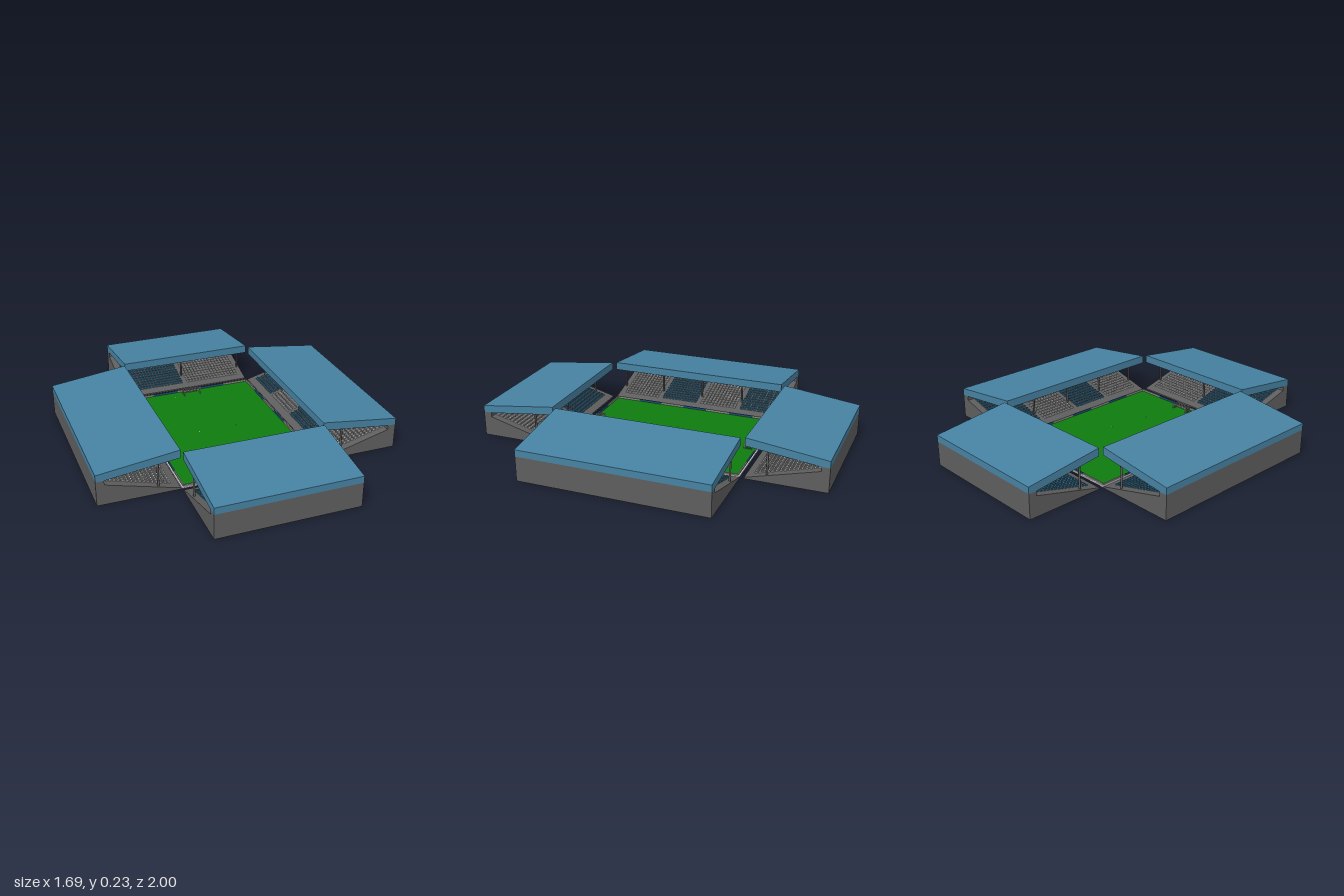
import * as THREE from 'three';
import { mergeGeometries } from 'three/addons/utils/BufferGeometryUtils.js';

const mat = (name, color, side = THREE.FrontSide) => {
  const m = new THREE.MeshStandardMaterial({ color, side });
  m.name = name;
  return m;
};

export function createModel() {
  const concrete = mat('concrete grey', 0x5e5e5e);
  const roofBlue = mat('roof blue', 0x4682a2);
  const seatBlue = mat('seat blue', 0x3c7596);
  const seatWhite = mat('seat white', 0xc4c4c4);
  const grass = mat('grass green', 0x0f7c0f);
  const boardBlue = mat('board blue', 0x24507c);
  const boardGrey = mat('board grey', 0x8c8c8c);
  const white = mat('white', 0xe4e4e4);

  const model = new THREE.Group();
  model.name = 'stadium';

  const add = (parent, name, geometry, material) => {
    const mesh = new THREE.Mesh(geometry, material);
    mesh.name = name;
    parent.add(mesh);
    return mesh;
  };
  const box = (w, h, d, x, y, z) => new THREE.BoxGeometry(w, h, d).translate(x, y, z);

  // Outline in (outward distance, height), swept along the stand
  const sweep = (points, length) => {
    const shape = new THREE.Shape(points.map(([x, y]) => new THREE.Vector2(x, y)));
    return new THREE.ExtrudeGeometry(shape, { depth: length, bevelEnabled: false })
      .translate(0, 0, -length / 2);
  };

  const DEPTH = 0.445;
  const slope = d => 0.008 + 0.107 * d / 0.4;

  // One stand, facing local -x, its front edge on x = 0
  function makeStand(name, length, blocks, pillars, blueFirst) {
    const stand = new THREE.Group();
    stand.name = name;
    add(stand, 'terrace', sweep([[0, 0], [DEPTH, 0], [DEPTH, 0.14], [0.4, 0.14],
      [0.4, slope(0.4)], [0, slope(0)]], length), concrete);
    add(stand, 'roof', sweep([[0, 0.188], [0.4, 0.14], [DEPTH, 0.14],
      [DEPTH, 0.178], [0, 0.234]], length), roofBlue);

    // Roof supports
    for (let i = 0; i < pillars; i++) {
      const z = (i / (pillars - 1) - 0.5) * (length - 0.03);
      add(stand, 'pillar', new THREE.CylinderGeometry(0.006, 0.006, 0.15, 8)
        .translate(0.118, 0.108, z), concrete);
    }

    // Blocks of seats in alternating colours with aisles between them
    const span = (length - 0.05) / blocks;
    for (let b = 0; b < blocks; b++) {
      const parts = [];
      const start = -length / 2 + 0.025 + b * span + 0.012;
      const count = Math.floor((span - 0.024) / 0.02);
      const pitch = (span - 0.024) / count;
      for (let row = 0; row < 16; row++) {
        const d = 0.05 + row * 0.0222;
        for (let s = 0; s < count; s++) {
          const z = start + (s + 0.5) * pitch;
          parts.push(box(0.011, 0.005, 0.013, d, slope(d) + 0.003, z));
          parts.push(box(0.003, 0.011, 0.013, d + 0.006, slope(d) + 0.007, z));
        }
      }
      const blue = (b % 2 === 0) === blueFirst;
      add(stand, 'seats', mergeGeometries(parts), blue ? seatBlue : seatWhite);
    }
    return stand;
  }

  const place = (stand, x, z, angle) => {
    stand.position.set(x, 0, z);
    stand.rotation.y = angle;
    model.add(stand);
  };
  place(makeStand('leftStand', 1.065, 4, 5, true), 0.402, 0, 0);
  place(makeStand('rightStand', 1.065, 4, 5, false), -0.402, 0, Math.PI);
  place(makeStand('frontStand', 0.79, 2, 3, false), 0, 0.555, -Math.PI / 2);
  place(makeStand('backStand', 0.79, 2, 3, true), 0, -0.555, Math.PI / 2);

  // Pitch
  add(model, 'pitch', box(0.786, 0.004, 1.05, 0, 0.002, 0), grass);

  // Advertising boards around the pitch, with a pale kerb behind
  for (const s of [-1, 1]) {
    add(model, 'kerb', box(0.008, 0.008, 1.06, s * 0.394, 0.004, 0), white);
    add(model, 'kerb', box(0.78, 0.008, 0.008, 0, 0.004, s * 0.526), white);
    for (let i = 0; i < 7; i++) {
      add(model, 'board', box(0.007, 0.015, 0.148, s * 0.387, 0.0085, (i - 3) * 0.148),
        i % 2 ? boardBlue : boardGrey);
    }
    for (let i = 0; i < 5; i++) {
      add(model, 'board', box(0.154, 0.015, 0.007, (i - 2) * 0.154, 0.0085, s * 0.519),
        i % 2 ? boardBlue : boardGrey);
    }
  }

  // Goals: white frame with a net of fine bars
  for (const s of [-1, 1]) {
    const goal = new THREE.Group();
    goal.name = 'goal';
    goal.position.z = s * 0.45;
    const frame = [box(0.106, 0.004, 0.004, 0, 0.037, 0)];
    const net = [];
    for (const x of [-0.051, 0.051]) frame.push(box(0.004, 0.035, 0.004, x, 0.0205, 0));
    for (let i = 0; i <= 10; i++) {
      const x = (i - 5) * 0.0102;
      net.push(box(0.002, 0.002, 0.042, x, 0.037, s * 0.021));
      net.push(box(0.002, 0.034, 0.002, x, 0.021, s * 0.042));
    }
    for (let i = 1; i <= 4; i++) {
      net.push(box(0.104, 0.002, 0.002, 0, 0.037, s * i * 0.0105));
      net.push(box(0.104, 0.002, 0.002, 0, i * 0.008, s * 0.042));
      for (const x of [-0.051, 0.051]) {
        net.push(box(0.002, 0.002, 0.042, x, i * 0.008, s * 0.021));
      }
    }
    add(goal, 'goalFrame', mergeGeometries(frame), white);
    add(goal, 'goalNet', mergeGeometries(net), boardGrey);
    model.add(goal);
  }

  // Small marks on the pitch
  for (const [x, z] of [[-0.115, 0], [0.115, 0], [-0.08, 0.24], [0.075, 0.24], [-0.115, -0.45]]) {
    add(model, 'pitchMark', box(0.008, 0.001, 0.003, x, 0.0045, z), white);
  }
  return model;
}
